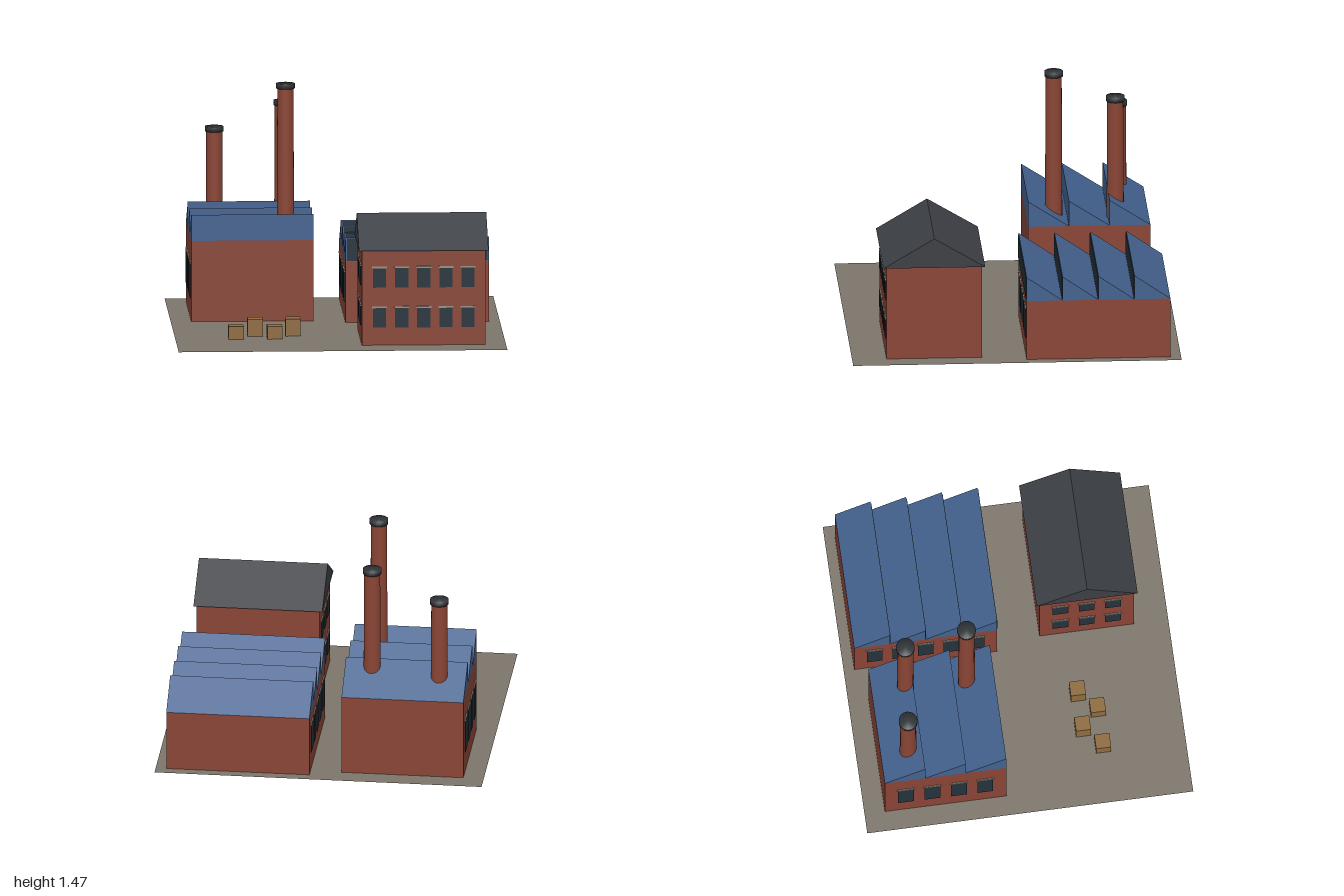
import * as THREE from 'three';
import { mergeVertices } from 'three/addons/utils/BufferGeometryUtils.js';

const mat = (color) => new THREE.MeshStandardMaterial({ color });
const GROUND = 0.027;

export function createModel() {
  const model = new THREE.Group();
  const brick = mat(0x8a4535), blue = mat(0x44628f), slate = mat(0x3c3f44);
  const glass = mat(0x25323b), stone = mat(0x9a8f82), soot = mat(0x303438), wood = mat(0x8f6b40);

  const add = (parent, name, geometry, material) => {
    const mesh = new THREE.Mesh(geometry, material);
    mesh.name = name;
    parent.add(mesh);
    return mesh;
  };
  const group = (name) => {
    const g = new THREE.Group();
    g.name = name;
    model.add(g);
    return g;
  };
  // Box given by its lower and upper corners
  const box = (parent, name, [x0, y0, z0], [x1, y1, z1], material) => {
    const g = new THREE.BoxGeometry(x1 - x0, y1 - y0, z1 - z0);
    g.translate((x0 + x1) / 2, (y0 + y1) / 2, (z0 + z1) / 2);
    return add(parent, name, g, material);
  };
  // Prism along x with a [z, y] outline
  const prism = (parent, name, points, x0, x1, material) => {
    const shape = new THREE.Shape(points.map(([z, y]) => new THREE.Vector2(z, y)));
    const g = new THREE.ExtrudeGeometry(shape, { depth: x1 - x0, bevelEnabled: false });
    g.rotateY(-Math.PI / 2).translate(x1, 0, 0);
    return add(parent, name, g, material);
  };
  // Row of windows with lintels, on the front (+z) or right (-x) wall
  const windowRow = (parent, onFront, wall, from, to, count, y0, y1) => {
    const step = (to - from) / (count + 0.6), w = step * 0.6;
    for (let i = 0; i < count; i++) {
      const unit = new THREE.Group();
      unit.name = 'window';
      const c = (from + to) / 2 + (i - (count - 1) / 2) * step;
      box(unit, 'windowPane', [-w / 2, y0, -0.005], [w / 2, y1, 0.005], glass);
      box(unit, 'lintel', [-w * 0.56, y1, -0.005], [w * 0.56, y1 + 0.01, 0.007], stone);
      if (onFront) unit.position.set(c, 0, wall);
      else {
        unit.rotation.y = -Math.PI / 2;
        unit.position.set(wall, 0, c);
      }
      parent.add(unit);
    }
  };
  // Sawtooth roof, upright faces to the front
  const sawtooth = (parent, x0, x1, zFront, zBack, teeth, y0, y1, glazed) => {
    const d = (zFront - zBack) / teeth;
    for (let i = 0; i < teeth; i++) {
      const z = zFront - i * d;
      prism(parent, 'roofTooth', [[z - d, y0], [z, y0], [z, y1]], x0, x1, blue);
      if (glazed) {
        box(parent, 'roofGlazing', [x0 + 0.01, y0 + 0.006, z - 0.002], [x1 - 0.01, y1 - 0.006, z + 0.004], glass);
      }
    }
  };

  // Yard
  const yard = new THREE.PlaneGeometry(2, 2).rotateX(-Math.PI / 2).translate(0, GROUND, 0);
  add(model, 'yard', yard, mat(0x7d766c)).material.side = THREE.DoubleSide;

  // Tall hall
  const tall = group('tallHall');
  box(tall, 'tallHallWalls', [-0.875, GROUND, -0.875], [-0.13, 0.525, -0.13], brick);
  sawtooth(tall, -0.875, -0.13, -0.13, -0.875, 3, 0.525, 0.685, false);
  windowRow(tall, false, -0.875, -0.875, -0.13, 4, 0.16, 0.37);

  // Low hall
  const low = group('lowHall');
  box(low, 'lowHallWalls', [0.06, GROUND, -0.935], [0.935, 0.4, -0.06], brick);
  sawtooth(low, 0.06, 0.935, -0.06, -0.935, 4, 0.4, 0.55, true);
  windowRow(low, true, -0.06, 0.06, 0.935, 5, 0.14, 0.325);
  windowRow(low, false, 0.06, -0.935, -0.06, 5, 0.14, 0.325);

  // Office with gable roof
  const office = group('office');
  box(office, 'officeWalls', [0.123, GROUND, 0.21], [0.877, 0.612, 0.79], brick);
  prism(office, 'gableRoof', [[0.19, 0.61], [0.81, 0.61], [0.5, 0.795]], 0.105, 0.893, slate);
  for (const y of [0.136, 0.382]) {
    windowRow(office, true, 0.79, 0.123, 0.877, 5, y, y + 0.12);
    windowRow(office, false, 0.123, 0.21, 0.79, 3, y, y + 0.12);
  }

  // Chimneys, with softly shaded caps
  const smooth = (g) => {
    g.deleteAttribute('uv');
    g.deleteAttribute('normal');
    const merged = mergeVertices(g);
    merged.computeVertexNormals();
    return merged;
  };
  for (const [x, z, top] of [[-0.71, -0.71, 1.135], [-0.295, -0.67, 1.3], [-0.295, -0.295, 1.465]]) {
    const chimney = group('chimney');
    chimney.position.set(x, 0, z);
    const h = top - 0.03 - GROUND;
    add(chimney, 'chimneyShaft', new THREE.CylinderGeometry(0.049, 0.055, h, 20), brick).position.y = GROUND + h / 2;
    add(chimney, 'chimneyCap', smooth(new THREE.CylinderGeometry(0.057, 0.057, 0.03, 20)), soot).position.y = top - 0.015;
  }

  // Crates
  const s = 0.046;
  for (const [x, z, y0, y1] of [[-0.63, 0.495, GROUND, 0.106], [-0.395, 0.495, GROUND, 0.106],
    [-0.51, 0.388, 0, 0.132], [-0.28, 0.388, 0, 0.132]]) {
    box(model, 'crate', [x - s, y0, z - s], [x + s, y1, z + s], wood);
  }
  return model;
}
